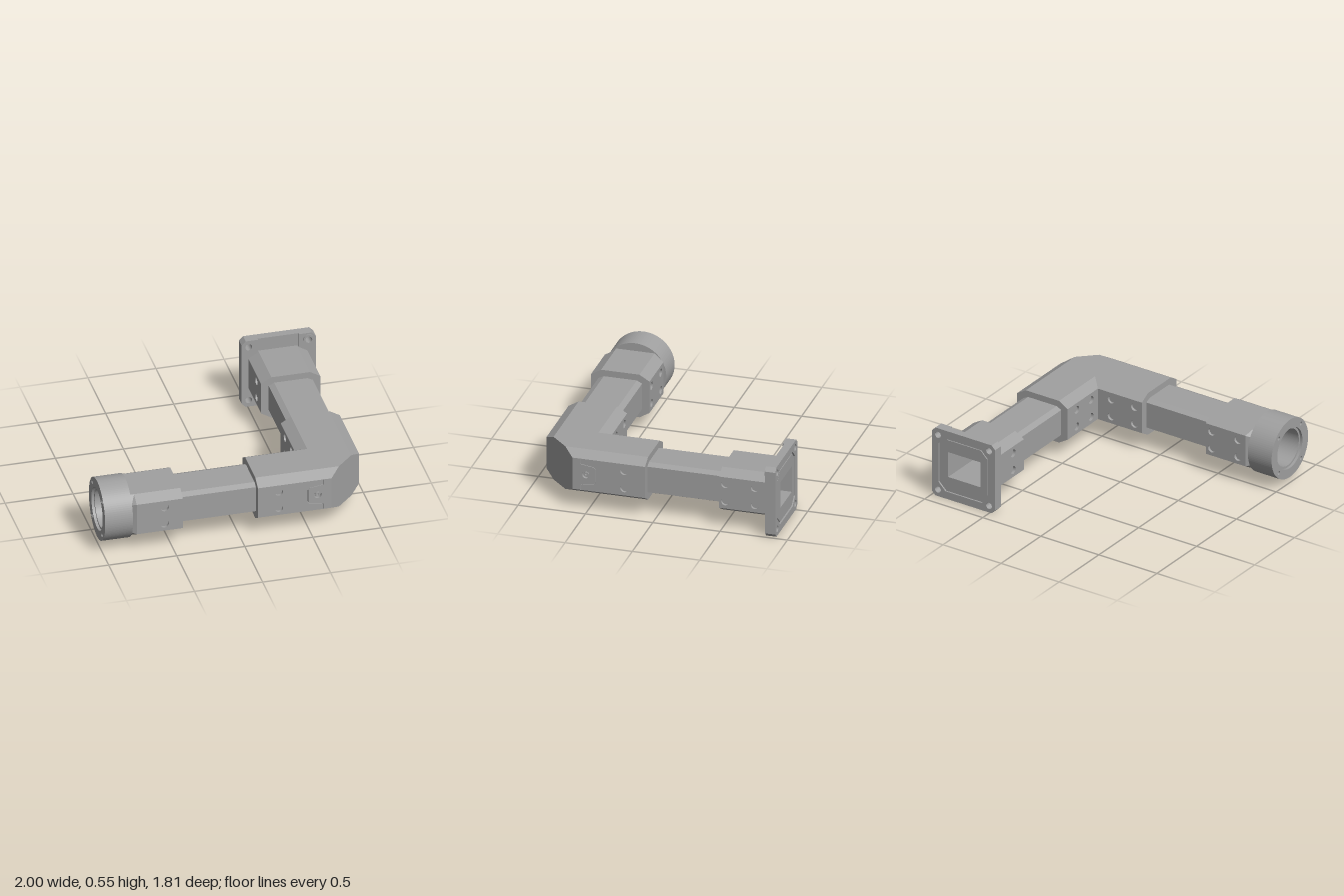
import * as THREE from 'three';

const CY = 0.2775, AZ = 0.6725, BX = 0.7225;   // axis height, arm A's z, arm B's x
const P = 0.02;                                // thickness of the drilled side panels
const LOW = 0.155, HIGH = 0.4;                 // flat part of the side walls
const HOLE_Y = [0.21, 0.345];

const grey = new THREE.MeshStandardMaterial({ color: 0xa0a0a0 });
grey.name = 'machined grey';

function shapeOf(points, holes = []) {
  const s = new THREE.Shape(points.map(([x, y]) => new THREE.Vector2(x, y)));
  s.holes.push(...holes);
  return s;
}
function circle(x, y, r, Type = THREE.Path) {
  return new Type().absarc(x, y, r, 0, Math.PI * 2, false);
}
function rect(x0, x1, y0, y1) {
  return [[x0, y0], [x1, y0], [x1, y1], [x0, y1]];
}
function bevelRect(x, y, half, cut) {
  const a = half, b = half - cut;
  return [[-b, -a], [b, -a], [a, -b], [a, b], [b, a], [-b, a], [-a, b], [-a, -b]]
    .map(([u, v]) => [x + u, y + v]);
}
const pathOf = (points) => new THREE.Path(points.map(([x, y]) => new THREE.Vector2(x, y)));

// Extrudes a shape from one coordinate to another; along x the shape's plane is (z, y).
function extrude(parent, name, axis, shape, from, to, segments = 14) {
  const g = new THREE.ExtrudeGeometry(shape, { depth: to - from, bevelEnabled: false, curveSegments: segments });
  if (axis === 'x') g.rotateY(-Math.PI / 2).translate(to, 0, 0);
  else g.translate(0, 0, from);
  const m = new THREE.Mesh(g, grey);
  m.name = name;
  parent.add(m);
  return m;
}

// Hollow bar section with chamfered edges; the side walls may be sunk to receive panels.
function section(c, w, h, f, cut, sunk = 0) {
  const right = sunk ? [[w, -f], [w - sunk, -f], [w - sunk, f], [w, f]] : [[w, -f], [w, f]];
  const half = [[w - cut, -h], ...right, [w - cut, h]];
  const all = [...half, ...half.map(([x, y]) => [-x, -y])];
  return shapeOf(all.map(([x, y]) => [c + x, CY + y]),
    [pathOf(rect(c + 0.14, c - 0.14, CY - 0.1, CY + 0.1))]);
}
const sleeveSection = (c, sunk) => section(c, 0.2175, 0.1675, 0.1225, 0.075, sunk);
const tubeSection = (c) => section(c, 0.1625, 0.12, 0.1, 0.04);

// Drilled side panel between s0 and s1, with pairs of holes at the given places.
function panel(parent, axis, s0, s1, at, places) {
  const holes = places.flatMap((s) => HOLE_Y.map((y) => circle(s, y, 0.03)));
  extrude(parent, 'drilledPanel', axis, shapeOf(rect(s0, s1, LOW, HIGH), holes), at, at + P);
}

// Outer elbow panel with a notch, the locking tongue in it and its screw.
function tonguePanel(parent, axis, shift, at) {
  const notch = [[0.605, 0.195], [0.505, 0.21], [0.49, 0.225], [0.49, 0.33], [0.505, 0.345], [0.605, 0.36]]
    .map(([s, y]) => [s + shift, y]);
  const s0 = 0.125 + shift, s1 = 0.601 + shift, end = 0.605 + shift, sx = 0.565 + shift;
  const outline = [[s0, LOW], [s1, LOW], [s1, 0.195], ...notch.slice(1, 5), [s1, 0.36], [s1, HIGH], [s0, HIGH]];
  extrude(parent, 'elbowOuterPanel', axis,
    shapeOf(outline, HOLE_Y.map((y) => circle(0.28 + shift, y, 0.03))), at, at + P);
  const tongue = notch.map(([s, y]) => [end + (s - end) * 0.96, CY + (y - CY) * 0.96]);
  extrude(parent, 'lockingTongue', axis, shapeOf(tongue, [circle(sx, CY, 0.027)]), at, at + P);
  const screw = circle(sx, CY, 0.018, THREE.Shape);
  screw.holes.push(circle(sx, CY, 0.007));
  extrude(parent, 'tongueScrew', axis, screw, at, at + 0.014);
}

// Solid elbow: stacked L-shaped outlines, inset towards top and bottom.
function elbowBody() {
  const outline = (d, p) => [
    [0.125, 0.89 - d - p], [0.605, 0.89 - d - p], [0.605, 0.89 - d], [0.665 + d, 0.89 - d],
    [0.94 - d, 0.615 + d], [0.94 - d, 0.555], [0.94 - d - p, 0.555], [0.94 - d - p, 0.075],
    [0.505 + d + p, 0.075], [0.505 + d + p, 0.455 + d + p], [0.125, 0.455 + d + p]];
  const levels = [[0.11, 0.075, 0], [LOW, 0, 0], [LOW, 0, P], [HIGH, 0, P], [HIGH, 0, 0], [0.445, 0.075, 0]];
  const rings = levels.map(([y, d, p]) => outline(d, p).map(([x, z]) => [x, y, z]));
  const pos = [];
  const tri = (...pts) => pts.forEach((q) => pos.push(...q));
  for (let j = 0; j < rings.length - 1; j++) {
    const lo = rings[j], up = rings[j + 1];
    lo.forEach((a, i) => {
      const k = (i + 1) % lo.length;
      tri(a, lo[k], up[k]);
      tri(a, up[k], up[i]);
    });
  }
  const top = rings[rings.length - 1], bottom = rings[0];
  const flat = top.map(([x, , z]) => new THREE.Vector2(x, -z));
  for (const [a, b, c] of THREE.ShapeUtils.triangulateShape(flat, [])) {
    tri(top[a], top[b], top[c]);
    tri(bottom[a], bottom[c], bottom[b]);
  }
  const g = new THREE.BufferGeometry();
  g.setAttribute('position', new THREE.Float32BufferAttribute(pos, 3));
  g.computeVertexNormals();
  const m = new THREE.Mesh(g, grey);
  m.name = 'elbowBody';
  return m;
}

function group(root, name) {
  const g = new THREE.Group();
  g.name = name;
  root.add(g);
  return g;
}

export function createModel() {
  const root = new THREE.Group();
  root.name = 'waveguideElbow';

  // Round end cap with a bore, a shallow step and four screw holes
  const cap = group(root, 'roundCap');
  const ring = (outer, inner) => {
    const s = circle(AZ, 0.275, outer, THREE.Shape);
    s.holes.push(circle(AZ, 0.275, inner));
    return s;
  };
  const face = ring(0.23, 0.158);
  for (let i = 0; i < 4; i++) {
    const a = Math.PI / 4 + i * Math.PI / 2;
    face.holes.push(circle(AZ + Math.cos(a) * 0.196, 0.275 + Math.sin(a) * 0.196, 0.014));
  }
  extrude(cap, 'capFace', 'x', face, -1, -0.98, 48);
  extrude(cap, 'capBody', 'x', ring(0.23, 0.142), -0.98, -0.795, 48);

  // Sleeve behind the cap, its corners trimmed to the cap's radius
  const sleeveA = group(root, 'capSleeve');
  const collar = extrude(sleeveA, 'trimmedCollar', 'x', sleeveSection(AZ), -0.797, -0.765);
  const p = collar.geometry.attributes.position;
  for (let i = 0; i < p.count; i++) {
    const y = p.getY(i) - 0.275, z = p.getZ(i) - AZ, k = 0.228 / Math.hypot(y, z);
    if (p.getX(i) < -0.78 && k < 1) p.setXYZ(i, p.getX(i), 0.275 + y * k, AZ + z * k);
  }
  collar.geometry.computeVertexNormals();
  extrude(sleeveA, 'sleeveBody', 'x', sleeveSection(AZ, P), -0.765, -0.425);
  panel(sleeveA, 'z', -0.765, -0.425, 0.89 - P, [-0.56]);
  panel(sleeveA, 'z', -0.765, -0.425, 0.455, [-0.475, -0.7]);

  // Straight tubes
  extrude(root, 'tubeA', 'x', tubeSection(AZ), -0.44, 0.13);
  extrude(root, 'tubeB', 'z', tubeSection(BX), -0.49, 0.08);

  // Elbow with its drilled walls
  const elbow = group(root, 'elbow');
  elbow.add(elbowBody());
  tonguePanel(elbow, 'z', 0, 0.89 - P);
  tonguePanel(elbow, 'x', -0.05, 0.94 - P);
  panel(elbow, 'z', 0.125, 0.505 + P, 0.455, [0.19, 0.39]);
  panel(elbow, 'x', 0.075, 0.455 + P, 0.505, [0.19, 0.37]);

  // Sleeve in front of the flange
  const sleeveB = group(root, 'flangeSleeve');
  extrude(sleeveB, 'sleeveBody', 'z', sleeveSection(BX, P), -0.852, -0.475);
  panel(sleeveB, 'x', -0.852, -0.475, 0.94 - P, [-0.52, -0.74]);
  panel(sleeveB, 'x', -0.852, -0.475, 0.505, [-0.61]);

  // Square flange: base plate, raised side pads, rear rim and inner face
  const flange = group(root, 'squareFlange');
  const FX = 0.7275, FY = 0.2725;
  const bolts = [];
  for (const sx of [-1, 1]) for (const sy of [-1, 1]) bolts.push([FX + sx * 0.22, FY + sy * 0.22]);
  const boltHoles = (list) => list.map(([x, y]) => circle(x, y, 0.025));
  const opening = () => pathOf(rect(BX - 0.14, BX + 0.14, CY - 0.1, CY + 0.1));
  const outer = bevelRect(FX, FY, 0.2725, 0.03);
  extrude(flange, 'flangePlate', 'z', shapeOf(outer, [opening(), ...boltHoles(bolts)]), -0.898, -0.85);
  extrude(flange, 'rearRim', 'z',
    shapeOf(outer, [pathOf(bevelRect(FX, FY, 0.215, 0.06)), ...boltHoles(bolts)]), -0.91, -0.898);
  extrude(flange, 'rearInnerFace', 'z', shapeOf(bevelRect(FX, FY, 0.2, 0.055), [opening()]), -0.906, -0.898);
  for (const side of [-1, 1]) {
    const e = FX + side * 0.2725, b = FX + side * 0.2425, i = FX + side * 0.15;
    const pad = [[i, 0], [b, 0], [e, 0.03], [e, 0.515], [b, 0.545], [i, 0.545]];
    extrude(flange, 'sidePad', 'z', shapeOf(pad, boltHoles(bolts.filter(([x]) => (x - FX) * side > 0))), -0.85, -0.835);
  }
  const bush = circle(FX + 0.22, FY + 0.22, 0.04, THREE.Shape);
  bush.holes.push(circle(FX + 0.22, FY + 0.22, 0.025));
  extrude(flange, 'boltBush', 'z', bush, -0.84, -0.827);

  return root;
}
